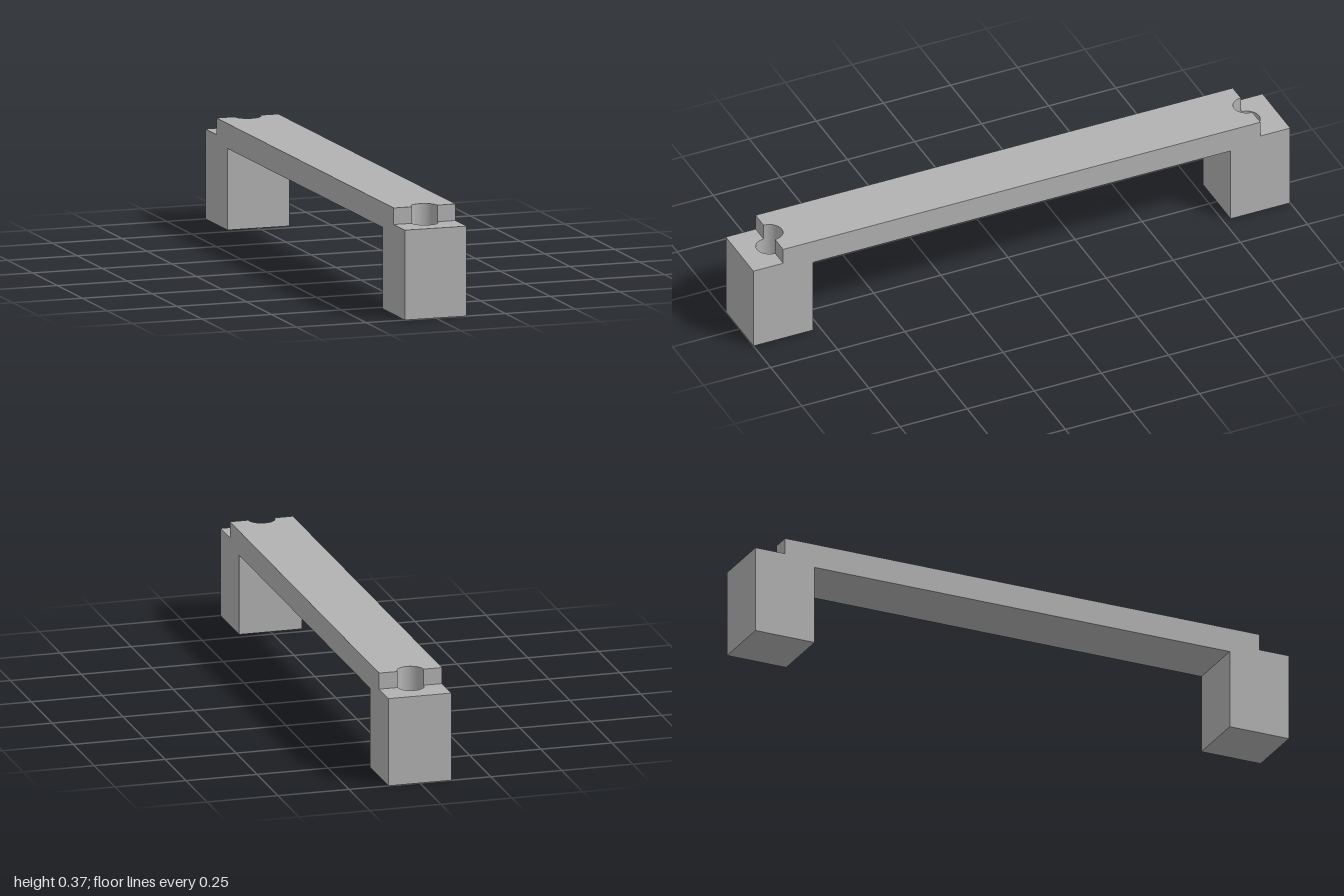
import * as THREE from 'three';

const W = 0.111;      // half width
const R = 0.046;      // screw hole radius
const HOLE_Z = 0.889; // hole and leg centre
const STEP_Y = 0.309; // top of the legs
const TOP_Y = 0.366;  // top of the grip
const GRIP_Y = 0.28;  // underside of the grip
const LEG_D = 0.111;  // half depth of a leg
const FLOOR_Y = 0.14; // bottom of the blind hole

export function createModel() {
  const group = new THREE.Group();
  const grey = new THREE.MeshStandardMaterial({ color: 0xb2b2b2 });
  grey.name = 'grey';

  const add = (name, geometry, x, y, z) => {
    const mesh = new THREE.Mesh(geometry, grey);
    mesh.name = name;
    mesh.position.set(x, y, z);
    group.add(mesh);
  };

  // Extrude a plan outline upwards
  const slab = (shape, height) =>
    new THREE.ExtrudeGeometry(shape, { depth: height, bevelEnabled: false, curveSegments: 32 })
      .rotateX(-Math.PI / 2);

  // Top of the grip, with a half-round notch in each end
  const plan = new THREE.Shape();
  plan.moveTo(-W, -HOLE_Z);
  plan.lineTo(-R, -HOLE_Z);
  plan.absarc(0, -HOLE_Z, R, Math.PI, 0, true);
  plan.lineTo(W, -HOLE_Z);
  plan.lineTo(W, HOLE_Z);
  plan.lineTo(R, HOLE_Z);
  plan.absarc(0, HOLE_Z, R, 0, Math.PI, true);
  plan.lineTo(-W, HOLE_Z);
  plan.closePath();
  add('gripTop', slab(plan, TOP_Y - STEP_Y), 0, STEP_Y, 0);

  // Lower layer of the grip between the legs
  add('gripUnderside', new THREE.BoxGeometry(2 * W, STEP_Y - GRIP_Y, 2 * (HOLE_Z - LEG_D)),
    0, (STEP_Y + GRIP_Y) / 2, 0);

  // Legs with a blind hole
  const foot = new THREE.Shape();
  foot.moveTo(-W, -LEG_D);
  foot.lineTo(W, -LEG_D);
  foot.lineTo(W, LEG_D);
  foot.lineTo(-W, LEG_D);
  foot.closePath();
  const hole = new THREE.Path();
  hole.absarc(0, 0, R, 0, Math.PI * 2, true);
  foot.holes.push(hole);

  for (const [side, s] of [['front', 1], ['back', -1]]) {
    add(`${side}Leg`, slab(foot, STEP_Y), 0, 0, s * HOLE_Z);
    // Solid core below the hole
    add(`${side}HoleFloor`, new THREE.CylinderGeometry(R, R, FLOOR_Y, 64), 0, FLOOR_Y / 2, s * HOLE_Z);
  }
  return group;
}
